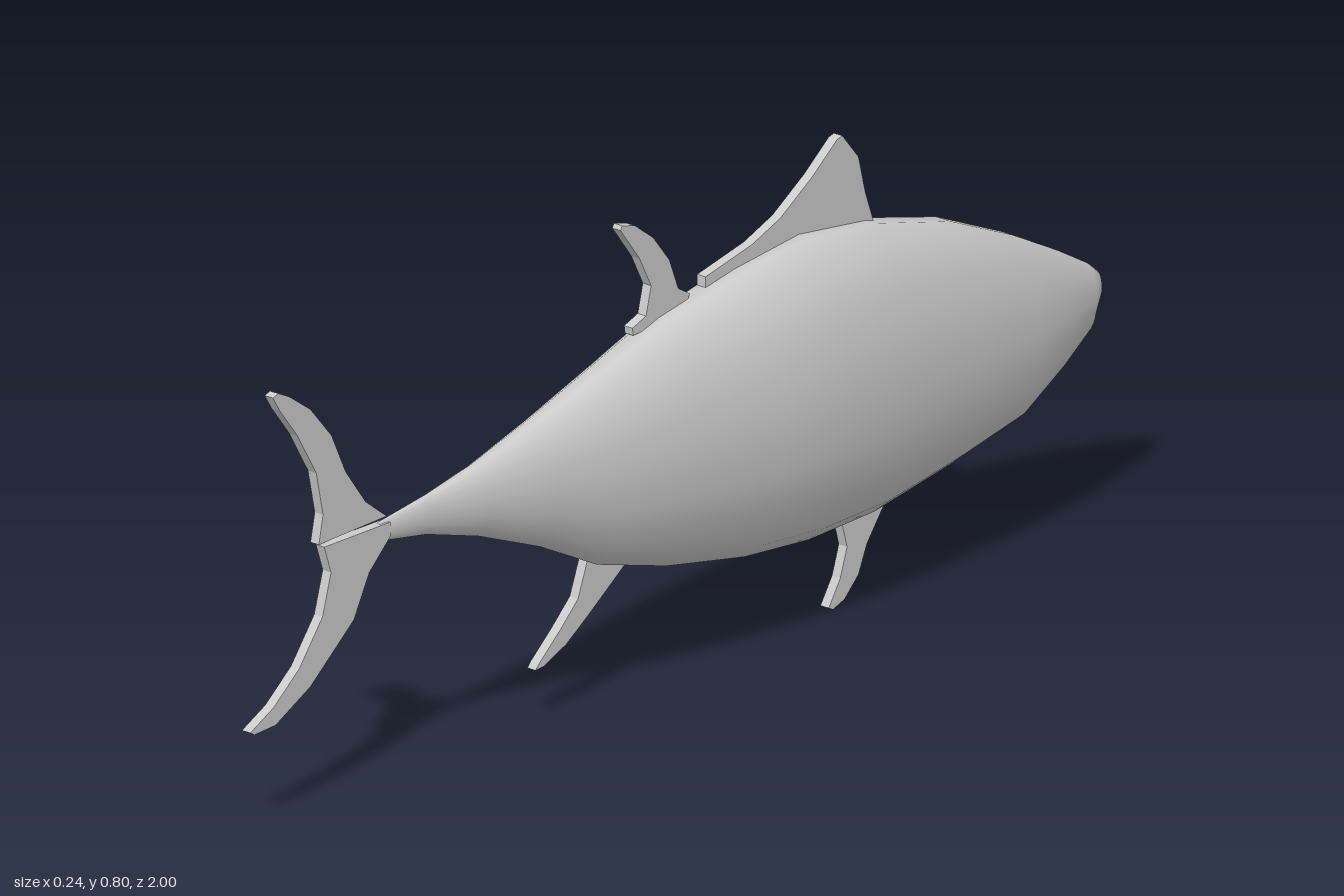
import * as THREE from 'three';

const material = new THREE.MeshStandardMaterial({ color: 0xcccccc, side: THREE.DoubleSide });

// Body stations, nose to tail: z, top y, bottom y, half width
const STATIONS = [
  [-1, 0.405, 0.354, 0.012], [-0.975, 0.425, 0.31, 0.024], [-0.9, 0.468, 0.265, 0.046],
  [-0.79, 0.525, 0.21, 0.074], [-0.64, 0.59, 0.18, 0.094], [-0.455, 0.638, 0.15, 0.112],
  [-0.3, 0.657, 0.145, 0.119], [-0.15, 0.64, 0.157, 0.115], [0.03, 0.606, 0.19, 0.098],
  [0.19, 0.555, 0.235, 0.076], [0.32, 0.515, 0.3, 0.054], [0.46, 0.477, 0.355, 0.032],
  [0.58, 0.455, 0.39, 0.014], [0.69, 0.44, 0.408, 0.005],
];
const SIDES = 18;

// Smooth body lofted through elliptical rings, closed at both ends
function bodyGeometry() {
  const pos = [], index = [];
  for (const [z, top, bottom, w] of STATIONS) {
    const h = (top - bottom) / 2 / Math.cos(Math.PI / SIDES);
    for (let j = 0; j < SIDES; j++) {
      const a = ((j + 0.5) / SIDES) * Math.PI * 2;
      pos.push(w * Math.sin(a), (top + bottom) / 2 + h * Math.cos(a), z);
    }
  }
  const last = (STATIONS.length - 1) * SIDES;
  const nose = pos.length / 3, tail = nose + 1;
  for (const [z, top, bottom] of [STATIONS[0], STATIONS[STATIONS.length - 1]]) {
    pos.push(0, (top + bottom) / 2, z);
  }
  for (let j = 0; j < SIDES; j++) {
    const k = (j + 1) % SIDES;
    for (let r = 0; r < last; r += SIDES) {
      const a = r + j, b = a + SIDES, c = r + k, d = c + SIDES;
      index.push(a, b, c, b, d, c);
    }
    index.push(nose, j, k, tail, last + k, last + j);
  }
  const geo = new THREE.BufferGeometry();
  geo.setAttribute('position', new THREE.Float32BufferAttribute(pos, 3));
  geo.setIndex(index);
  geo.computeVertexNormals();
  return geo;
}

// Flat fin cut from a (z, y) outline, starting at x
function fin(name, outline, x = -0.018) {
  const shape = new THREE.Shape(outline.map(([z, y]) => new THREE.Vector2(-z, y)));
  const geo = new THREE.ExtrudeGeometry(shape, { depth: 0.018, bevelEnabled: false });
  geo.rotateY(Math.PI / 2).translate(x, 0, 0);
  const mesh = new THREE.Mesh(geo, material);
  mesh.name = name;
  return mesh;
}

export function createModel() {
  const fish = new THREE.Group();
  fish.name = 'fish';

  const body = new THREE.Mesh(bodyGeometry(), material);
  body.name = 'body';
  fish.add(body);

  fish.add(
    fin('frontDorsalFin', [
      [-0.08, 0.62], [-0.08, 0.645], [-0.19, 0.67], [-0.257, 0.697], [-0.33, 0.745], [-0.39, 0.793],
      [-0.402, 0.796], [-0.44, 0.75], [-0.456, 0.686], [-0.477, 0.627], [-0.3, 0.63],
    ]),
    fin('rearDorsalFin', [
      [0.09, 0.592], [0.092, 0.605], [0.06, 0.617], [0.048, 0.665], [0.075, 0.718], [0.12, 0.778],
      [0.116, 0.785], [0.086, 0.777], [0.043, 0.745], [0.005, 0.697], [-0.016, 0.643],
      [-0.043, 0.627], [-0.03, 0.6],
    ]),
    fin('pelvicFin', [
      [-0.38, 0], [-0.37, 0.005], [-0.397, 0.048], [-0.413, 0.097], [-0.4, 0.145], [-0.407, 0.17],
      [-0.51, 0.17], [-0.504, 0.15], [-0.46, 0.09], [-0.44, 0.043], [-0.407, 0.01],
    ]),
    fin('analFin', [
      [0.32, 0.088], [0.312, 0.097], [0.263, 0.14], [0.22, 0.182], [0.198, 0.241], [0.21, 0.265],
      [0.11, 0.225], [0.11, 0.21], [0.14, 0.188], [0.193, 0.15], [0.247, 0.113], [0.3, 0.09],
    ]),
    fin('upperTailFin', [
      [0.938, 0.718], [0.925, 0.722], [0.9, 0.71], [0.85, 0.675], [0.8, 0.617], [0.767, 0.547],
      [0.72, 0.483], [0.67, 0.445], [0.83, 0.44], [0.82, 0.488], [0.836, 0.563], [0.88, 0.638],
      [0.922, 0.692],
    ]),
    fin('lowerTailFin', [
      [0.826, 0.437], [0.81, 0.39], [0.83, 0.32], [0.885, 0.247], [0.945, 0.198], [1, 0.17],
      [0.99, 0.164], [0.94, 0.167], [0.858, 0.21], [0.756, 0.295], [0.72, 0.365], [0.67, 0.413],
      [0.67, 0.437],
    ], -0.01),
  );
  return fish;
}
